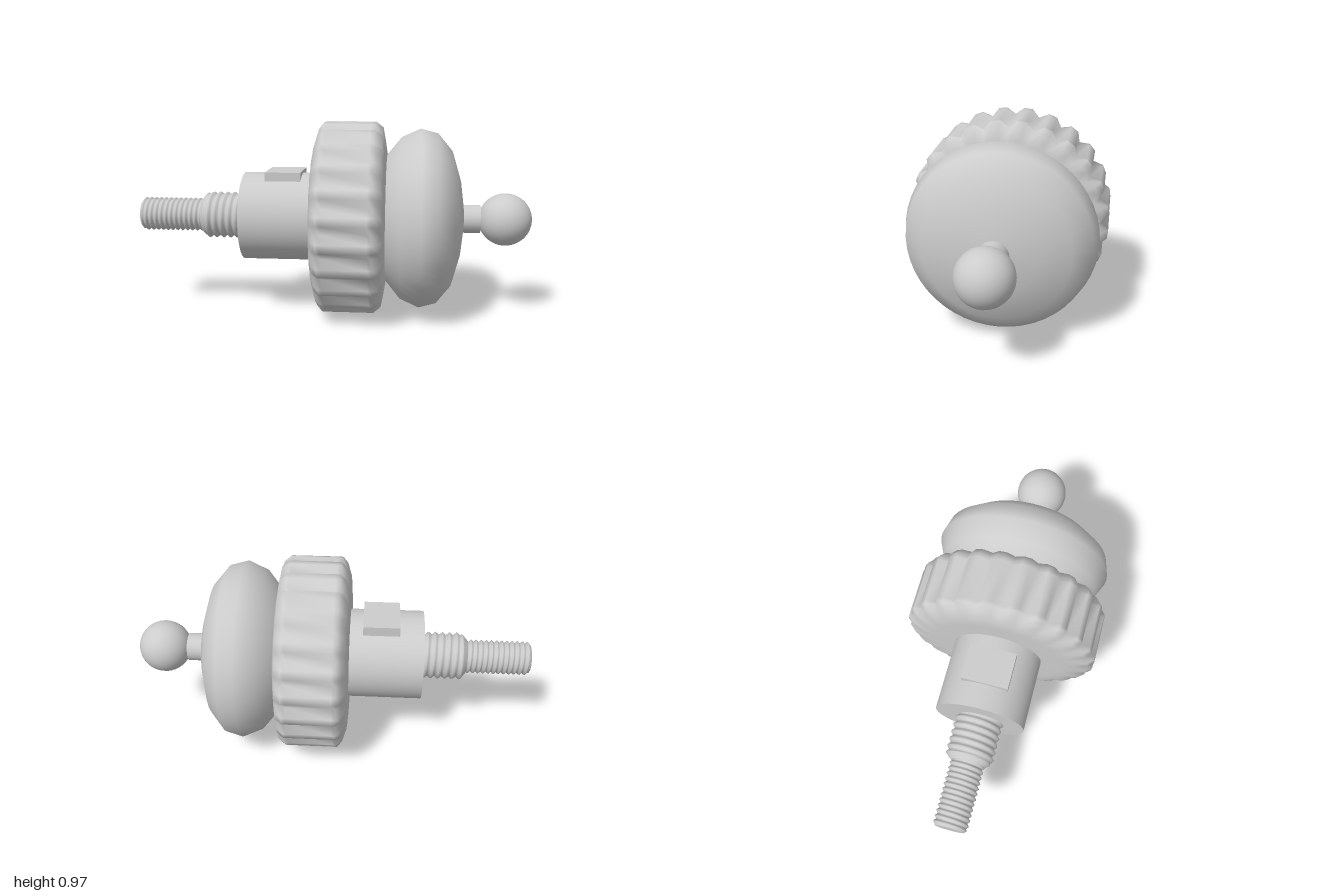
import * as THREE from 'three';

const AXIS_Y = 0.487;

// Skin loops around the x axis; radius(i, j) gives the radius at station i, segment j.
// Repeating a station makes a sharp edge.
function loft(xs, segments, radius) {
  const pos = [], idx = [];
  xs.forEach((x, i) => {
    for (let j = 0; j < segments; j++) {
      const a = (j / segments) * Math.PI * 2, r = radius(i, j);
      pos.push(x, r * Math.cos(a), r * Math.sin(a));
    }
  });
  for (let i = 0; i < xs.length - 1; i++) {
    for (let j = 0; j < segments; j++) {
      const k = (j + 1) % segments;
      const a = i * segments + j, b = i * segments + k;
      const c = b + segments, d = a + segments;
      idx.push(a, b, c, a, c, d);
    }
  }
  const g = new THREE.BufferGeometry();
  g.setAttribute('position', new THREE.Float32BufferAttribute(pos, 3));
  g.setIndex(idx);
  g.computeVertexNormals();
  return g;
}

// Helical screw thread with flat ends
function thread(x0, x1, inner, outer, pitch, chamfer) {
  const n = Math.round((x1 - x0) / pitch) * 6, segments = 24;
  const xs = [x0, x0];
  for (let i = 0; i <= n; i++) xs.push(x0 + ((x1 - x0) * i) / n);
  xs.push(x1, x1);
  const last = xs.length - 1;
  return loft(xs, segments, (i, j) => {
    if (i === 0 || i === last) return 0;
    const t = (xs[i] - x0) / pitch + j / segments;
    const wave = 1 - Math.abs(2 * (t - Math.floor(t)) - 1);
    const r = inner + (outer - inner) * wave;
    return Math.min(r, inner - chamfer + (xs[i] - x0) * 1.2);
  });
}

export function createModel() {
  const model = new THREE.Group();
  const metal = new THREE.MeshStandardMaterial({ color: 0xcccccc });
  metal.name = 'light grey';

  const add = (name, geometry, x = 0, y = AXIS_Y, z = 0) => {
    const mesh = new THREE.Mesh(geometry, metal);
    mesh.name = name;
    mesh.position.set(x, y, z);
    model.add(mesh);
    return mesh;
  };
  const rod = (name, x0, x1, r, segments) =>
    add(name, new THREE.CylinderGeometry(r, r, x1 - x0, segments).rotateZ(-Math.PI / 2), (x0 + x1) / 2);

  // Threaded shaft in two diameters
  add('thinThread', thread(-1, -0.66, 0.074, 0.087, 0.026, 0.004));
  add('thickThread', thread(-0.68, -0.45, 0.105, 0.121, 0.036, 0.02));

  // Hub with its square key
  rod('hub', -0.455, -0.08, 0.224, 48);
  add('key', new THREE.BoxGeometry(0.18, 0.06, 0.23), -0.245, 0.695, -0.003);

  // Fluted grip ring: stations of [x, valley radius, tooth radius]
  const grip = [
    [-0.09, 0, 0], [-0.09, 0.33, 0.33], [-0.085, 0.39, 0.395], [-0.065, 0.432, 0.458],
    [-0.04, 0.453, 0.487], [-0.02, 0.453, 0.487], [0.195, 0.453, 0.487], [0.215, 0.453, 0.487],
    [0.25, 0.43, 0.458], [0.262, 0.39, 0.395], [0.272, 0.33, 0.33], [0.272, 0, 0],
  ];
  add('gripRing', loft(grip.map((s) => s[0]), 72, (i, j) => grip[i][j % 3 === 0 ? 1 : 2]));

  // Rounded cap
  const cap = [
    [0.262, 0], [0.262, 0.3], [0.262, 0.3], [0.275, 0.325], [0.345, 0.411], [0.44, 0.453],
    [0.525, 0.43], [0.597, 0.343], [0.64, 0.2], [0.658, 0.07], [0.66, 0],
  ];
  add('cap', loft(cap.map((s) => s[0]), 48, (i) => cap[i][1]));

  // Stem, neck and ball end
  rod('stem', 0.64, 0.743, 0.071, 24);
  rod('neck', 0.73, 0.8, 0.045, 24);
  add('ball', new THREE.SphereGeometry(0.132, 32, 24).rotateZ(-Math.PI / 2), 0.868);

  return model;
}
